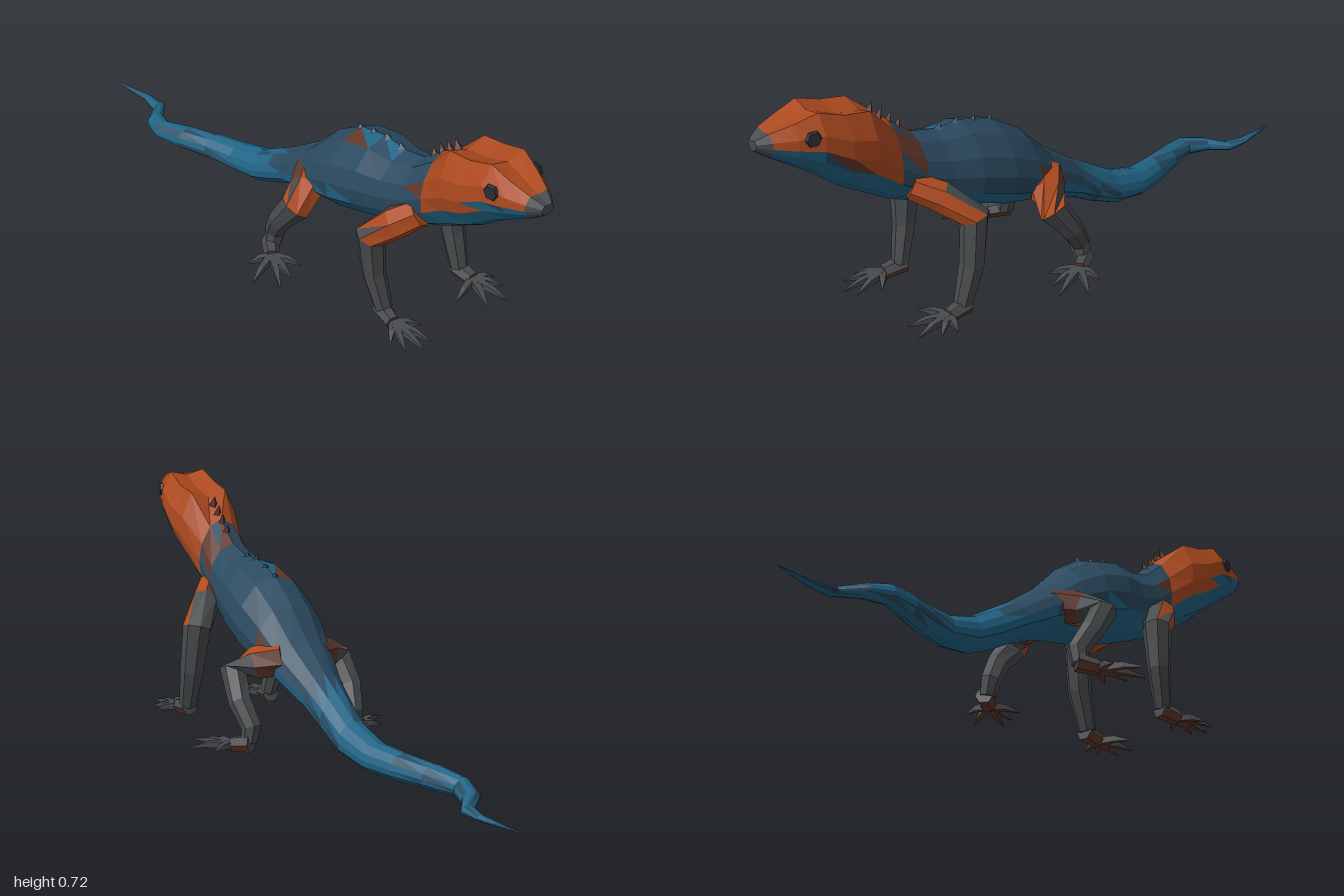
import * as THREE from 'three';

const makeMaterial = (name, color) => {
  const m = new THREE.MeshStandardMaterial({ color });
  m.name = name;
  return m;
};
const MATERIALS = [
  makeMaterial('orange', 0xae4a1f),
  makeMaterial('slateBlue', 0x2b4a60),
  makeMaterial('brightBlue', 0x226587),
  makeMaterial('grey', 0x484b4d),
  makeMaterial('brown', 0x63382b),
  makeMaterial('darkEye', 0x2a2d30),
];
const [ORANGE, SLATE, BLUE, GREY, BROWN, EYE] = MATERIALS.keys();

// Seeded generator for the mottled skin
let seed = 7;
const rand = () => (seed = (seed * 16807) % 2147483647) / 2147483647;

// Skin a list of rings with flat faces; pick(centre, normal, ring, side) returns a material index
function loft(name, rings, pick) {
  const buckets = MATERIALS.map(() => []);
  const n = rings[0].length;
  const face = (a, b, c, i, k) => {
    const tri = new THREE.Triangle(a, b, c);
    if (tri.getArea() < 1e-9) return;
    const index = pick(tri.getMidpoint(new THREE.Vector3()), tri.getNormal(new THREE.Vector3()), i, k);
    buckets[index].push(a, b, c);
  };
  const centre = (r) => r.reduce((s, p) => s.add(p), new THREE.Vector3()).divideScalar(n);
  const first = centre(rings[0]);
  const last = centre(rings.at(-1));
  for (let k = 0; k < n; k++) {
    const j = (k + 1) % n;
    for (let i = 0; i < rings.length - 1; i++) {
      const [a, b] = [rings[i], rings[i + 1]];
      face(a[k], a[j], b[j], i, k);
      face(a[k], b[j], b[k], i, k);
    }
    face(first, rings[0][j], rings[0][k], 0, k);
    face(last, rings.at(-1)[k], rings.at(-1)[j], rings.length - 2, k);
  }
  const geometry = new THREE.BufferGeometry().setFromPoints(buckets.flat());
  let start = 0;
  buckets.forEach((points, index) => {
    if (points.length) geometry.addGroup(start, points.length, index);
    start += points.length;
  });
  geometry.computeVertexNormals();
  const mesh = new THREE.Mesh(geometry, MATERIALS);
  mesh.name = name;
  return mesh;
}

// Faceted tube along [x, y, z, radius] points
function tube(name, path, sides, ref, pick) {
  const pts = path.map((p) => new THREE.Vector3(p[0], p[1], p[2]));
  const rings = pts.map((p, i) => {
    const d = pts[Math.min(i + 1, pts.length - 1)].clone().sub(pts[Math.max(i - 1, 0)]).normalize();
    const u = ref.clone().addScaledVector(d, -ref.dot(d)).normalize();
    const v = d.clone().cross(u);
    return Array.from({ length: sides }, (_, k) => {
      const a = ((k + 0.5) / sides) * Math.PI * 2;
      return p.clone().addScaledVector(u, Math.cos(a) * path[i][3]).addScaledVector(v, Math.sin(a) * path[i][3]);
    });
  });
  return loft(name, rings, pick);
}

function flatMesh(name, geometry, material) {
  const g = geometry.index ? geometry.toNonIndexed() : geometry;
  g.computeVertexNormals();
  const mesh = new THREE.Mesh(g, MATERIALS[material]);
  mesh.name = name;
  return mesh;
}

// Head, trunk and tail: z, centre x, half width, top, bottom
const SECTIONS = [
  [0.997, -0.02, 0.02, 0.668, 0.635], [0.96, -0.02, 0.047, 0.685, 0.605],
  [0.9, -0.015, 0.073, 0.7, 0.565], [0.83, -0.01, 0.092, 0.72, 0.515],
  [0.75, -0.008, 0.1, 0.69, 0.45], [0.67, -0.008, 0.097, 0.675, 0.4],
  [0.58, -0.008, 0.08, 0.6, 0.345], [0.5, -0.008, 0.088, 0.535, 0.31],
  [0.42, -0.008, 0.1, 0.515, 0.275], [0.33, -0.008, 0.122, 0.515, 0.24],
  [0.22, -0.006, 0.13, 0.485, 0.2], [0.12, -0.006, 0.12, 0.42, 0.18],
  [0.03, -0.008, 0.1, 0.33, 0.16], [-0.08, -0.008, 0.07, 0.25, 0.115],
  [-0.16, -0.01, 0.06, 0.2, 0.07], [-0.25, -0.012, 0.055, 0.145, 0.03],
  [-0.36, -0.022, 0.05, 0.11, 0.015], [-0.46, -0.05, 0.046, 0.1, 0.013],
  [-0.56, -0.088, 0.043, 0.09, 0.013], [-0.66, -0.12, 0.031, 0.075, 0.013],
  [-0.73, -0.1, 0.031, 0.06, 0.015], [-0.79, -0.048, 0.024, 0.045, 0.018],
  [-0.86, -0.044, 0.014, 0.04, 0.022], [-0.997, -0.07, 0.002, 0.032, 0.028],
];
const BODY = [[0, 1], [0.5, 0.84], [0.88, 0.42], [1, 0], [0.93, -0.4], [0.5, -0.8], [0, -1]];
const HEAD = [[0, 0.86], [0.62, 1], [0.97, 0.45], [1, 0], [0.88, -0.35], [0.52, -0.8], [0, -1]];

function bodyColour(c, normal, i, k) {
  const row = Math.min(k, 11 - k); // 0 at the back, 5 at the belly
  const r = rand();
  if (c.z > 0.955) return GREY;
  if (c.z > 0.59) {
    if (row <= 2) return ORANGE;
    if (row === 3 && c.z < 0.79) return r < 0.65 ? ORANGE : BROWN;
    return row === 3 && r < 0.25 ? SLATE : BLUE;
  }
  if (c.z > 0.5) return row <= 2 ? (r < 0.55 ? BROWN : SLATE) : row === 3 ? SLATE : BLUE;
  if (c.z > 0) return row >= 4 ? BLUE : r < 0.05 ? BROWN : r > 0.94 ? BLUE : SLATE;
  if (c.z > -0.12) return row <= 2 ? SLATE : BLUE;
  return r < 0.2 && row < 5 ? SLATE : BLUE;
}

function buildBody() {
  const rings = SECTIONS.map(([z, x, w, top, bottom]) => {
    const half = z > 0.6 ? HEAD : BODY;
    const ring = [...half, ...half.slice(1, -1).reverse().map(([a, b]) => [-a, b])];
    const [mid, h] = [(top + bottom) / 2, (top - bottom) / 2];
    return ring.map(([a, b]) => new THREE.Vector3(x + a * w, mid + b * h, z));
  });
  return loft('body', rings, bodyColour);
}

// Leg with splayed clawed toes; the last path point is the wrist or ankle
function buildLeg(name, path, palm, toes) {
  const leg = new THREE.Group();
  leg.name = name;
  leg.add(tube(name + 'Limb', path, 7, new THREE.Vector3(1, 0, 0), (c, normal, i) =>
    i > 1 ? GREY : normal.z > -0.15 ? ORANGE : i === 0 ? BROWN : GREY));
  const foot = (c, normal) => (normal.y < -0.1 ? BROWN : GREY);
  const ankle = path.at(-1);
  leg.add(tube(name + 'Palm', [
    [ankle[0], 0.035, ankle[2] - 0.015, 0.028], [palm[0], 0.024, palm[1], 0.023],
  ], 6, new THREE.Vector3(0, 1, 0), foot));
  for (const [x, z] of toes) {
    const [px, pz] = palm;
    leg.add(tube(name + 'Toe', [
      [px, 0.022, pz, 0.017], [px + (x - px) * 0.55, 0.024, pz + (z - pz) * 0.55, 0.012], [x, 0.014, z, 0.002],
    ], 4, new THREE.Vector3(0, 1, 0), foot));
  }
  return leg;
}

export function createModel() {
  const lizard = new THREE.Group();
  lizard.name = 'lizard';
  lizard.add(buildBody());

  // Front legs, slightly different in stance
  lizard.add(buildLeg('rightFrontLeg', [
    [-0.06, 0.4, 0.55, 0.045], [-0.1, 0.355, 0.5, 0.05], [-0.14, 0.285, 0.435, 0.046],
    [-0.135, 0.16, 0.445, 0.036], [-0.12, 0.04, 0.475, 0.027],
  ], [-0.13, 0.53], [[-0.19, 0.59], [-0.175, 0.64], [-0.13, 0.67], [-0.09, 0.65], [-0.065, 0.58]]));
  lizard.add(buildLeg('leftFrontLeg', [
    [0.05, 0.4, 0.54, 0.042], [0.1, 0.365, 0.48, 0.046], [0.165, 0.3, 0.41, 0.046],
    [0.175, 0.16, 0.43, 0.038], [0.175, 0.04, 0.465, 0.028],
  ], [0.18, 0.52], [[0.25, 0.54], [0.24, 0.59], [0.205, 0.645], [0.14, 0.635], [0.085, 0.56]]));

  // Hind legs, mirrored
  for (const [side, s] of [['left', 1], ['right', -1]]) {
    lizard.add(buildLeg(side + 'HindLeg', [
      [s * 0.05, 0.27, 0.06, 0.055], [s * 0.12, 0.25, 0.11, 0.052], [s * 0.18, 0.225, 0.135, 0.046],
      [s * 0.19, 0.15, 0.075, 0.036], [s * 0.175, 0.08, 0.03, 0.032], [s * 0.185, 0.035, 0.03, 0.026],
    ], [s * 0.22, 0.07], [[s * 0.29, 0.05], [s * 0.335, 0.13], [s * 0.285, 0.2], [s * 0.23, 0.18], [s * 0.17, 0.15]]));

    // Eye plate
    const eye = flatMesh(side + 'Eye', new THREE.CylinderGeometry(0.02, 0.025, 0.009, 6), EYE);
    eye.position.set(-0.012 + s * 0.083, 0.66, 0.862);
    eye.rotation.set(0, s * -0.24, s * -1.5);
    lizard.add(eye);
  }

  // Small spines along the neck and back
  for (const [z, y, h] of [[0.63, 0.648, 0.035], [0.6, 0.622, 0.04], [0.57, 0.598, 0.038], [0.54, 0.572, 0.03],
    [0.4, 0.515, 0.02], [0.34, 0.515, 0.02], [0.28, 0.5, 0.02], [0.22, 0.483, 0.02]]) {
    const spine = flatMesh('backSpine', new THREE.ConeGeometry(0.015, h, 4), z > 0.5 ? BROWN : SLATE);
    spine.position.set(-0.008, y + 0.003, z);
    spine.rotation.x = -0.4;
    lizard.add(spine);
  }
  return lizard;
}
